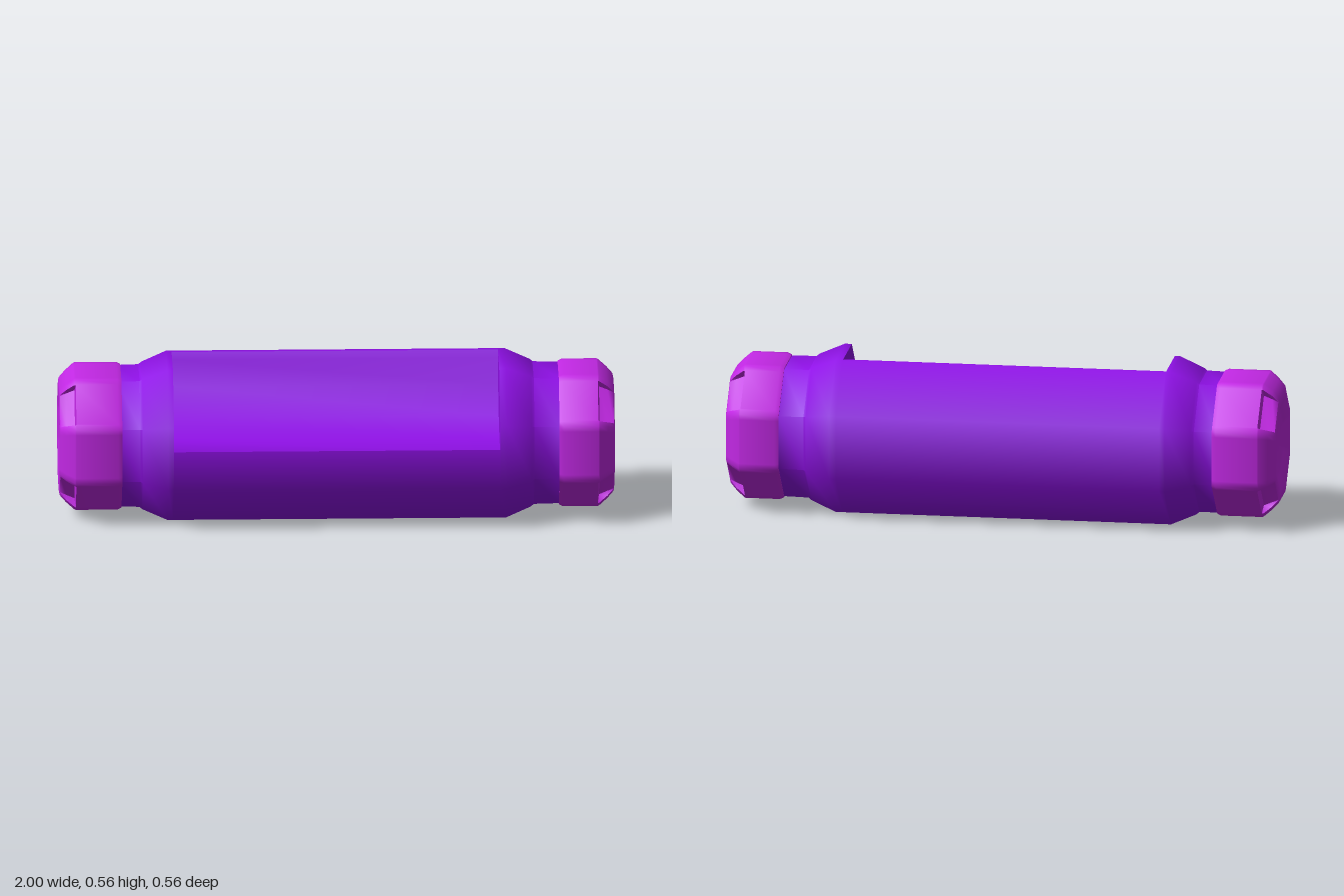
import * as THREE from 'three';
import { mergeGeometries, toCreasedNormals } from 'three/addons/utils/BufferGeometryUtils.js';

const CY = 0.2825; // height of the long axis
const TAN = Math.tan(Math.PI / 8);

// Octagon as [z, y] points, starting at the top-rear corner; r is half the width across flats
const octagon = (r) => Array.from({ length: 8 }, (_, i) => {
  const a = Math.PI * (5 / 8 + i / 4), c = r / Math.cos(Math.PI / 8);
  return [Math.cos(a) * c, CY + Math.sin(a) * c];
});

// Skin between closed loops [x, [[z, y], ...]] ordered by growing x
function loft(loops, closeEnd = false) {
  const pos = [], idx = [], n = loops[0][1].length;
  for (const [x, pts] of loops) for (const [z, y] of pts) pos.push(x, y, z);
  for (let k = 0; k < loops.length - 1; k++) {
    for (let i = 0; i < n; i++) {
      const a = k * n + i, b = k * n + (i + 1) % n;
      idx.push(a, a + n, b, b, a + n, b + n);
    }
  }
  if (closeEnd) {
    const last = (loops.length - 1) * n;
    pos.push(loops[loops.length - 1][0], CY, 0);
    for (let i = 0; i < n; i++) idx.push(last + i, pos.length / 3 - 1, last + (i + 1) % n);
  }
  const g = new THREE.BufferGeometry();
  g.setAttribute('position', new THREE.Float32BufferAttribute(pos, 3));
  g.setIndex(idx);
  return g;
}

// Octagon loop whose diagonal sides are pushed in to notchR between their corners
function notchedLoop(r, notchR) {
  const pts = [];
  for (let side = 0; side < 8; side++) {
    const a = Math.PI * (3 / 4 + side / 4);
    const d = side % 2 === 0 ? notchR : r;
    for (const [t, q] of [[-1, r], [-0.8, r], [-0.76, d], [0.76, d], [0.8, r]]) {
      const w = t * r * TAN;
      pts.push([Math.cos(a) * q - Math.sin(a) * w, CY + Math.sin(a) * q + Math.cos(a) * w]);
    }
  }
  return pts;
}

export function createModel() {
  const group = new THREE.Group();
  const purple = new THREE.MeshStandardMaterial({ color: 0x8f10e6, side: THREE.DoubleSide });
  purple.name = 'purple';
  const magenta = new THREE.MeshStandardMaterial({ color: 0xc228e4 });
  magenta.name = 'magenta';
  const add = (name, geometry, material) => {
    const mesh = new THREE.Mesh(geometry, material);
    mesh.name = name;
    group.add(mesh);
    return mesh;
  };

  // Body: octagonal ends joined by a section with a scooped trough in its upper front
  const L = -0.59, R = 0.585, full = octagon(CY);
  const rearEdge = [-0.10, 2 * CY], frontEdge = [CY, 0.31];
  const trough = [[0.268, 0.297], [0.15, 0.31], [0.04, 0.36], [-0.05, 0.45], [-0.085, 0.54]];
  const cut = [rearEdge, ...full.slice(0, 6), frontEdge, ...trough];
  const leftEnd = [[-0.79, 0.236], [-0.71, 0.238], [-0.70, 0.246], [-0.61, CY], [L, CY]];
  const rightEnd = [[R, CY], [0.61, CY], [0.70, 0.246], [0.71, 0.238], [0.80, 0.236]];
  const section = ([x, r]) => [x, octagon(r)];
  const body = mergeGeometries([
    loft(leftEnd.map(section)),
    loft([[L, cut], [R, cut]]),
    loft(rightEnd.map(section)),
  ]);
  add('body', toCreasedNormals(body, 0.9), purple);

  // Flat walls closing both ends of the trough
  const wall = new THREE.Shape([frontEdge, ...trough, rearEdge, full[7], full[6]]
    .map(([z, y]) => new THREE.Vector2(-z, y)));
  for (const [name, x] of [['troughWallRight', L], ['troughWallLeft', R]]) {
    const g = new THREE.ShapeGeometry(wall).rotateY(Math.PI / 2);
    add(name, g, purple).position.x = x;
  }

  // End caps: chamfered, with a dished face and four diagonal notches; rows are x, radius, notch radius
  const capRows = (start) => [
    [start, 0.22, 0.22], [start, 0.24, 0.24], [start + 0.015, 0.2465, 0.2465],
    [0.94, 0.2465, 0.2465], [0.945, 0.2445, 0.212], [0.975, 0.22, 0.202],
    [0.997, 0.197, 0.194], [1, 0.185, 0.185], [1, 0.158, 0.158],
    [0.985, 0.122, 0.122], [0.982, 0.105, 0.105],
  ];
  for (const [name, start, turn] of [['capLeft', 0.80, 0], ['capRight', 0.775, Math.PI]]) {
    const g = loft(capRows(start).map(([x, r, n]) => [x, notchedLoop(r, n)]), true);
    add(name, toCreasedNormals(g, 0.9), magenta).rotation.y = turn;
  }
  return group;
}
